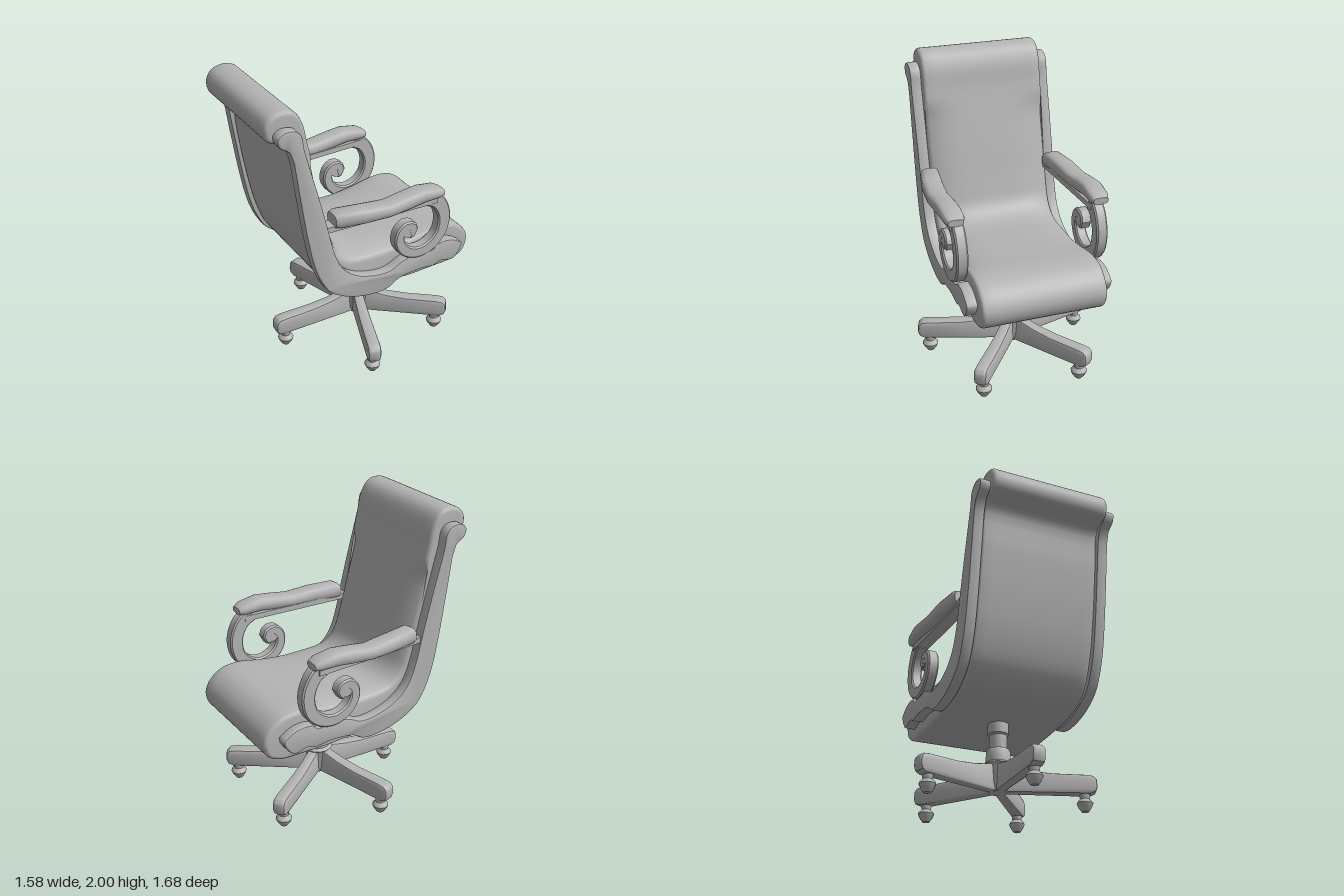
import * as THREE from 'three';
import { toCreasedNormals } from 'three/addons/utils/BufferGeometryUtils.js';

const grey = new THREE.MeshStandardMaterial({ color: 0xb4b4b4 });
grey.name = 'plain grey';

function part(name, geometry, crease = 0.7) {
  const mesh = new THREE.Mesh(toCreasedNormals(geometry, crease), grey);
  mesh.name = name;
  return mesh;
}

const vectors = (points) => points.map(([x, y]) => new THREE.Vector2(x, y));

// Closed smooth outline through a few points
function smoothShape(points, divisions) {
  const loop = new THREE.CatmullRomCurve3(points.map(([x, y]) => new THREE.Vector3(x, y, 0)), true, 'centripetal');
  return new THREE.Shape(loop.getPoints(divisions).slice(0, -1).map((p) => new THREE.Vector2(p.x, p.y)));
}

// Side outline given sideways thickness, centred on z = 0
function slab(shape, thickness, bevel, bevelSegments = 2, steps = 1) {
  const geometry = new THREE.ExtrudeGeometry(shape, {
    depth: thickness - 2 * bevel, steps, curveSegments: 8,
    bevelEnabled: true, bevelSize: bevel, bevelThickness: bevel, bevelOffset: -bevel, bevelSegments,
  });
  return geometry.translate(0, 0, -(thickness - 2 * bevel) / 2);
}

// One-piece upholstered back and seat with rolled ends (x is forward)
const cushionOutline = [
  [-0.60, 2.0], [-0.53, 1.975], [-0.48, 1.89], [-0.45, 1.75], [-0.395, 1.55], [-0.325, 1.3],
  [-0.27, 1.1], [-0.22, 0.96], [-0.13, 0.89], [0.1, 0.88], [0.35, 0.885], [0.52, 0.893],
  [0.65, 0.87], [0.735, 0.80], [0.765, 0.72], [0.735, 0.63], [0.65, 0.585], [0.5, 0.575],
  [0.1, 0.58], [-0.1, 0.60], [-0.25, 0.65], [-0.36, 0.76], [-0.435, 0.94], [-0.495, 1.21],
  [-0.54, 1.5], [-0.58, 1.77], [-0.64, 1.80], [-0.71, 1.83], [-0.728, 1.91], [-0.69, 1.975],
];

// The cushion face sinks towards the rails along the back and rear of the seat
function cushionGeometry() {
  const geometry = slab(smoothShape(cushionOutline, 120), 0.825, 0.025, 3, 12);
  const pos = geometry.attributes.position;
  const p = new THREE.Vector2(), middle = new THREE.Vector2(0.35, 1.4);
  for (let i = 0; i < pos.count; i++) {
    p.set(pos.getX(i), pos.getY(i));
    const away = p.clone().sub(middle);
    const onFace = 1 - THREE.MathUtils.smoothstep(away.length(), 0.75, 0.84);
    const rear = 1 - THREE.MathUtils.smoothstep(p.x, 0.1, 0.6);
    const edge = Math.pow(Math.abs(pos.getZ(i)) / 0.4125, 4);
    p.addScaledVector(away.normalize(), 0.055 * onFace * rear * edge);
    pos.setXY(i, p.x, p.y);
  }
  return geometry;
}

// Carved side rail, from the curl at the top to the scrolled foot in front
const railOutline = [
  [-0.64, 1.905], [-0.685, 1.87], [-0.67, 1.815], [-0.61, 1.77], [-0.56, 1.5], [-0.517, 1.21],
  [-0.465, 0.945], [-0.41, 0.80], [-0.35, 0.71], [-0.21, 0.625], [-0.04, 0.585], [0.08, 0.59],
  [0.157, 0.635], [0.327, 0.655], [0.44, 0.645], [0.49, 0.665], [0.59, 0.645], [0.64, 0.69],
  [0.665, 0.75], [0.64, 0.775], [0.566, 0.81], [0.458, 0.81], [0.42, 0.775], [0.3, 0.79],
  [0.19, 0.77], [0.09, 0.725], [-0.04, 0.735], [-0.17, 0.785], [-0.26, 0.866], [-0.32, 1.0],
  [-0.37, 1.21], [-0.43, 1.45], [-0.48, 1.635], [-0.515, 1.77], [-0.53, 1.86], [-0.57, 1.9],
];

// Spiral ribbon under the arm, made by offsetting its centre line
function scrollShape() {
  const line = new THREE.SplineCurve(vectors([
    [0.37, 1.19], [0.445, 1.14], [0.492, 1.03], [0.475, 0.91], [0.40, 0.832], [0.30, 0.808],
    [0.205, 0.845], [0.154, 0.92], [0.16, 0.995], [0.205, 1.032], [0.25, 1.015], [0.255, 0.975], [0.225, 0.965],
  ]));
  const outer = [], inner = [], count = 40;
  for (let i = 0; i <= count; i++) {
    const u = i / count;
    const p = line.getPointAt(u), d = line.getTangentAt(u);
    const half = 0.052 - 0.02 * u;
    outer.push(new THREE.Vector2(p.x - d.y * half, p.y + d.x * half));
    inner.unshift(new THREE.Vector2(p.x + d.y * half, p.y - d.x * half));
  }
  return new THREE.Shape([...outer, ...inner]);
}

// Padded arm: a rounded bar whose section follows a gentle wave
function armPad(side) {
  const rows = [ // forward, bottom, top, sideways centre, half width
    [-0.315, 1.175, 1.262, 0.435, 0.058], [-0.285, 1.168, 1.277, 0.44, 0.065], [-0.12, 1.168, 1.27, 0.466, 0.07],
    [0.05, 1.168, 1.255, 0.478, 0.07], [0.2, 1.182, 1.278, 0.48, 0.07], [0.3, 1.195, 1.288, 0.48, 0.07],
    [0.42, 1.195, 1.268, 0.477, 0.066], [0.462, 1.2, 1.245, 0.477, 0.05],
  ];
  const geometry = new THREE.CylinderGeometry(1, 1, 1, 16, rows.length - 1);
  const pos = geometry.attributes.position;
  const soften = (v) => Math.sign(v) * Math.pow(Math.abs(v), 0.65);
  for (let i = 0; i < pos.count; i++) {
    const row = rows[Math.round((pos.getY(i) + 0.5) * (rows.length - 1))];
    const up = soften(-pos.getX(i)), across = soften(pos.getZ(i));
    pos.setXYZ(i, row[0], (row[1] + row[2]) / 2 + up * (row[2] - row[1]) / 2, side * row[3] + across * row[4]);
  }
  return geometry;
}

function buildSide(side) {
  const group = new THREE.Group();
  group.name = side > 0 ? 'rightSide' : 'leftSide';

  const rail = part('sideRail', slab(smoothShape(railOutline, 108), 0.075, 0.012));
  rail.position.z = side * 0.446;

  const scroll = part('armScroll', slab(scrollShape(), 0.075, 0.01, 1));
  scroll.position.z = side * 0.462;

  // Solid eye at the heart of the scroll
  const eye = part('scrollEye', new THREE.CylinderGeometry(0.048, 0.048, 0.073, 14).rotateX(Math.PI / 2));
  eye.position.set(0.222, 0.995, side * 0.462);

  // Thin board under the pad, tied into the rail behind
  const board = part('armBoard', new THREE.BoxGeometry(0.82, 0.038, 0.085));
  board.position.set(0.015, 1.172, side * 0.447);
  board.rotation.y = -side * 0.045;

  group.add(rail, scroll, eye, board, part('armPad', armPad(side), 0.9));
  return group;
}

function buildBase() {
  const base = new THREE.Group();
  base.name = 'swivelBase';
  base.position.set(0.08, 0, -0.095);

  // Stepped column and hub
  base.add(part('column', new THREE.LatheGeometry(vectors([
    [0, 0.115], [0.06, 0.115], [0.075, 0.16], [0.085, 0.28], [0.1, 0.3], [0.082, 0.315], [0.08, 0.39],
    [0.072, 0.405], [0.06, 0.41], [0.06, 0.5], [0.07, 0.51], [0.07, 0.6], [0, 0.6],
  ]), 20), 0.6));

  // Five legs with a caster under each tip
  const legShape = new THREE.Shape(vectors([
    [0.03, 0.115], [0.595, 0.115], [0.63, 0.132], [0.642, 0.165], [0.638, 0.215], [0.615, 0.24],
    [0.57, 0.246], [0.35, 0.25], [0.22, 0.264], [0.13, 0.282], [0.08, 0.295], [0.03, 0.295],
  ]));
  const caster = new THREE.LatheGeometry(vectors([
    [0, 0], [0.024, 0.006], [0.044, 0.035], [0.055, 0.06], [0.05, 0.07], [0.032, 0.088], [0.036, 0.118],
  ]), 10);
  for (let i = 0; i < 5; i++) {
    const leg = new THREE.Group();
    leg.name = 'leg' + (i + 1);
    leg.rotation.y = THREE.MathUtils.degToRad(87 + 72 * i);
    const beam = slab(legShape, 0.09, 0.02);
    const pos = beam.attributes.position;
    // Narrow towards the hub
    for (let j = 0; j < pos.count; j++) {
      pos.setZ(j, pos.getZ(j) * (0.75 + 0.25 * Math.min(1, pos.getX(j) / 0.45)));
    }
    const wheel = part('caster', caster);
    wheel.position.x = 0.56;
    leg.add(part('legBeam', beam), wheel);
    base.add(leg);
  }
  return base;
}

export function createModel() {
  const model = new THREE.Group();
  model.name = 'armchair';

  // Upper chair, swivelled on its base
  const upper = new THREE.Group();
  upper.name = 'upperChair';
  upper.rotation.y = 0.918;
  upper.add(part('cushion', cushionGeometry()));
  upper.add(buildSide(1), buildSide(-1));

  model.add(upper, buildBase());
  return model;
}
